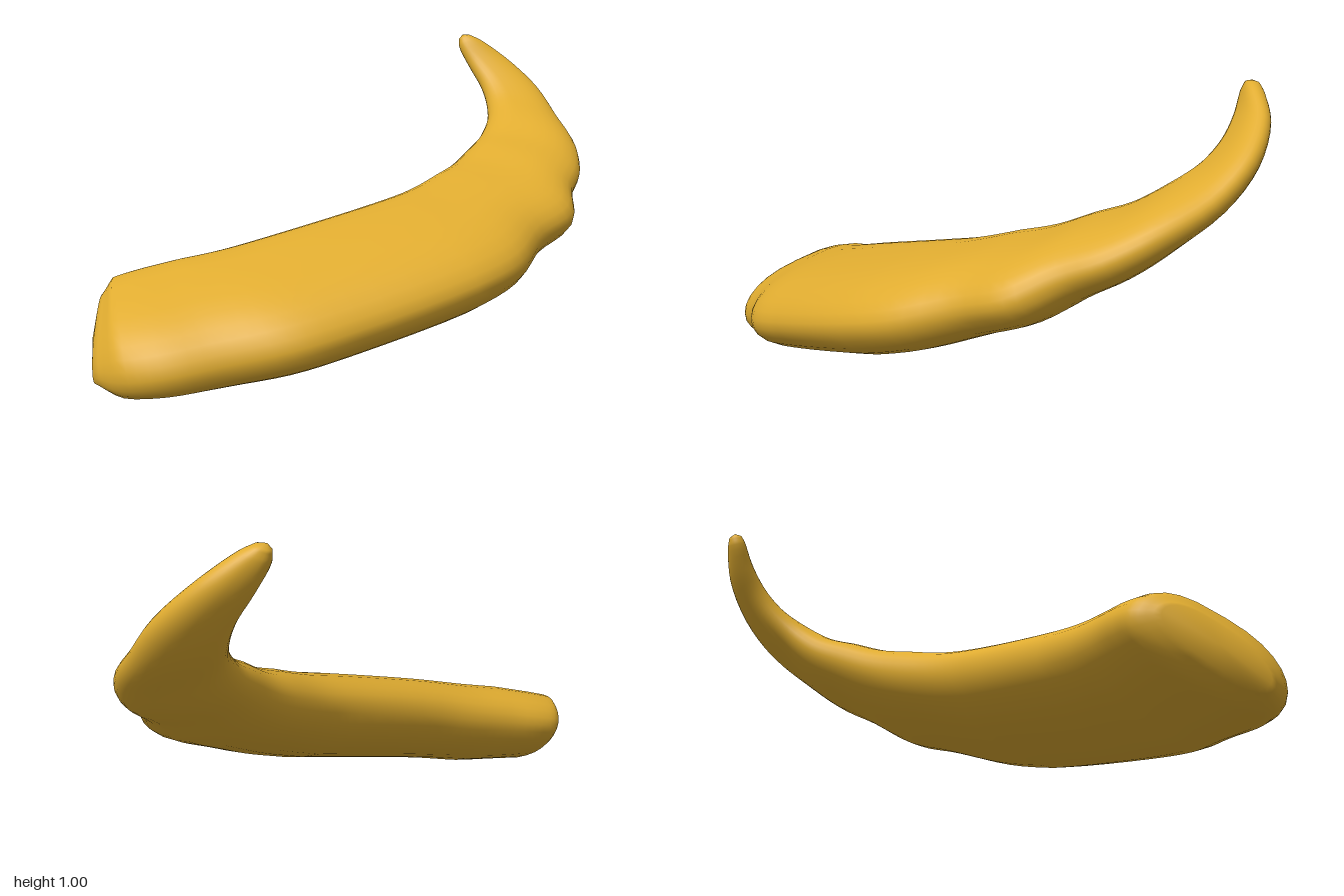
import * as THREE from 'three';

// Points along the two edges, from the blunt end to the hooked tip
const INNER = [
  [-0.335, 0.24, 0.82], [-0.37, 0.25, 0.75], [-0.35, 0.265, 0.68], [-0.29, 0.29, 0.57],
  [-0.24, 0.31, 0.46], [-0.18, 0.35, 0.3], [-0.115, 0.42, -0.05], [-0.11, 0.45, -0.2],
  [-0.125, 0.49, -0.35], [-0.145, 0.53, -0.47], [-0.17, 0.58, -0.58], [-0.2, 0.63, -0.68],
  [-0.235, 0.7, -0.76], [-0.29, 0.77, -0.81], [-0.34, 0.83, -0.83], [-0.4, 0.9, -0.83],
  [-0.453, 0.975, -0.825], [-0.462, 1.005, -0.832],
];
const OUTER = [
  [-0.1, 0.065, 0.99], [0.02, 0.06, 0.97], [0.12, 0.075, 0.89], [0.2, 0.1, 0.75],
  [0.32, 0.14, 0.59], [0.38, 0.18, 0.39], [0.46, 0.265, 0], [0.452, 0.31, -0.2],
  [0.375, 0.37, -0.39], [0.355, 0.42, -0.56], [0.26, 0.49, -0.67], [0.2, 0.54, -0.78],
  [0.1, 0.61, -0.88], [-0.06, 0.7, -0.965], [-0.2, 0.815, -1], [-0.33, 0.925, -0.965],
  [-0.405, 1.0, -0.895], [-0.435, 1.02, -0.865],
];
// Edge point number, height above and depth below the line between the edges
const THICKNESS = [
  [0, 0.06, 0.05], [1, 0.12, 0.1], [3, 0.13, 0.13], [6, 0.12, 0.155],
  [8, 0.115, 0.13], [10, 0.095, 0.105], [13, 0.055, 0.065], [17, 0.022, 0.022],
];

function thicknessAt(station, column) {
  const k = Math.max(1, THICKNESS.findIndex((row) => row[0] >= station));
  const a = THICKNESS[k - 1], b = THICKNESS[k];
  return THREE.MathUtils.mapLinear(station, a[0], b[0], a[column], b[column]);
}

function bladeGeometry(rings = 69, sides = 28) {
  const curve = (points) => new THREE.CatmullRomCurve3(points.map((p) => new THREE.Vector3(...p)));
  const inner = curve(INNER), outer = curve(OUTER);
  const mid = (t) => inner.getPoint(t).add(outer.getPoint(t)).multiplyScalar(0.5);
  const positions = [], index = [];

  // Cross-sections: full upper inner shoulder, rounded belly, slimmer outer edge
  for (let i = 0; i < rings; i++) {
    const t = i / (rings - 1);
    const station = (i * (INNER.length - 1)) / (rings - 1);
    const above = thicknessAt(station, 1), below = thicknessAt(station, 2);
    const across = outer.getPoint(t).sub(inner.getPoint(t));
    const w = across.length() / 2;
    across.normalize();
    const along = mid(Math.min(1, t + 0.02)).sub(mid(Math.max(0, t - 0.02)));
    const up = across.clone().cross(along).normalize();
    for (let j = 0; j < sides; j++) {
      const a = (j / sides) * Math.PI * 2;
      const c = Math.cos(a), s = Math.sin(a);
      const power = c < 0 && s > 0 ? 0.65 : 0.85;
      const u = Math.sign(c) * Math.abs(c) ** power * w;
      const p = mid(t).addScaledVector(across, u).addScaledVector(up, s * (s > 0 ? above : below));
      positions.push(p.x, p.y, p.z);
    }
  }

  // Skin between neighbouring sections
  for (let i = 0; i < rings - 1; i++) {
    for (let j = 0; j < sides; j++) {
      const a = i * sides + j, b = i * sides + ((j + 1) % sides);
      index.push(a, a + sides, b, b, a + sides, b + sides);
    }
  }

  // Slightly domed end caps
  const start = rings * sides, tip = start + 1, lastRing = start - sides;
  const dome = (t, inside, d) => {
    const p = mid(t);
    p.addScaledVector(p.clone().sub(mid(inside)).normalize(), d);
    positions.push(p.x, p.y, p.z);
  };
  dome(0, 0.03, 0.02);
  dome(1, 0.97, 0.012);
  for (let j = 0; j < sides; j++) {
    const n = (j + 1) % sides;
    index.push(start, j, n, tip, lastRing + n, lastRing + j);
  }

  const geometry = new THREE.BufferGeometry();
  geometry.setAttribute('position', new THREE.Float32BufferAttribute(positions, 3));
  geometry.setIndex(index);
  geometry.computeVertexNormals();
  return geometry;
}

export function createModel() {
  const group = new THREE.Group();
  group.name = 'curvedHorn';
  const amber = new THREE.MeshStandardMaterial({ color: 0xe0ac30 });
  amber.name = 'amber';
  const blade = new THREE.Mesh(bladeGeometry(), amber);
  blade.name = 'hornBody';
  group.add(blade);
  return group;
}
